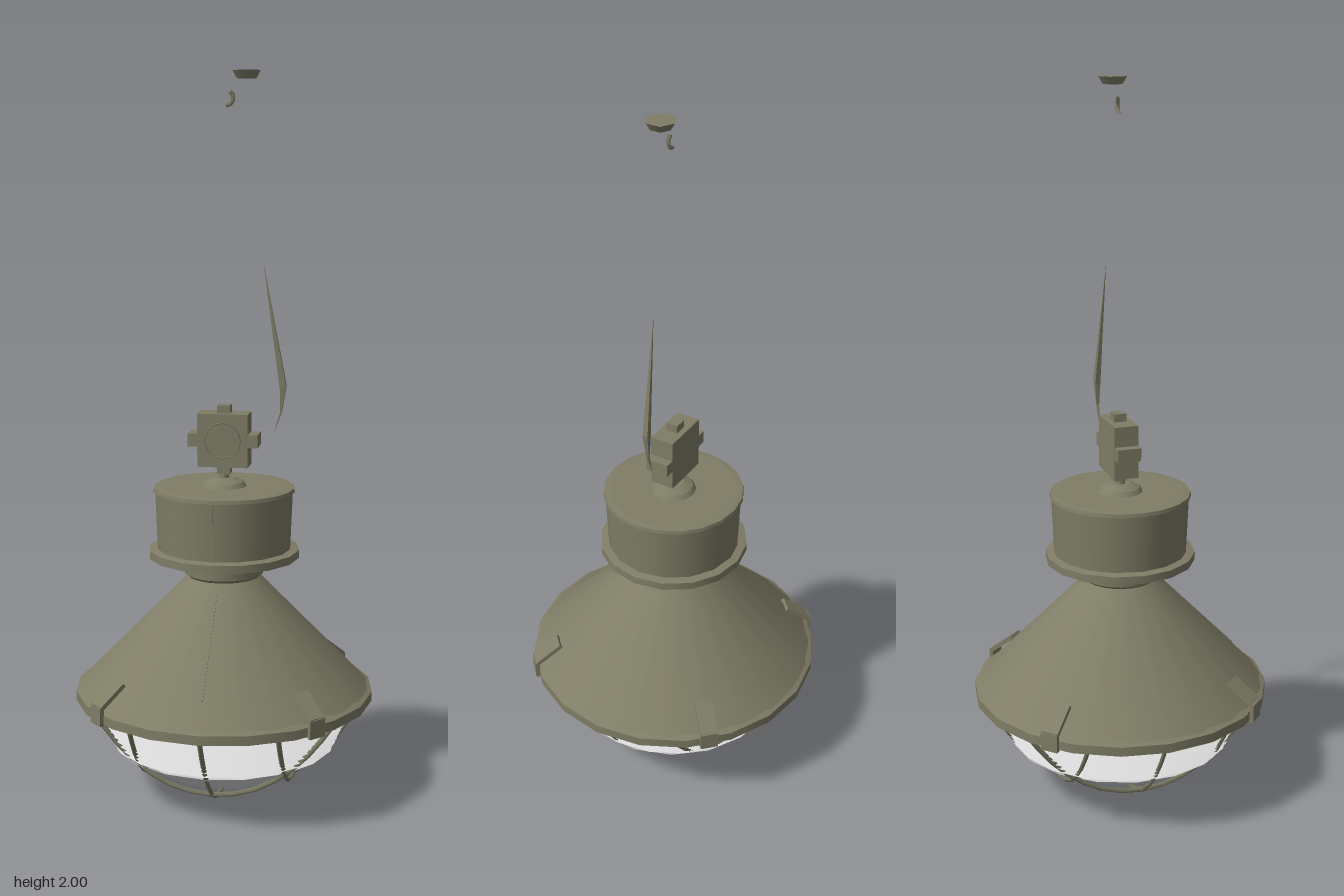
import * as THREE from 'three';

const paint = new THREE.MeshStandardMaterial({ color: 0x7f7d66, side: THREE.DoubleSide });
paint.name = 'olive paint';
const glass = new THREE.MeshStandardMaterial({ color: 0xdadadb, side: THREE.DoubleSide });
glass.name = 'pale glass';

export function createModel() {
  const root = new THREE.Group();
  root.name = 'pendantLamp';

  function add(name, geometry, material, x = 0, y = 0, z = 0, parent = root) {
    const mesh = new THREE.Mesh(geometry, material);
    mesh.name = name;
    mesh.position.set(x, y, z);
    parent.add(mesh);
    return mesh;
  }
  // Turned part with a hard edge at every profile point
  function turned(name, profile, material, segments = 20) {
    const group = new THREE.Group();
    group.name = name;
    for (let i = 0; i < profile.length - 1; i++) {
      const pts = [profile[i], profile[i + 1]].map(([r, y]) => new THREE.Vector2(r, y));
      add(name + 'Band', new THREE.LatheGeometry(pts, segments), material, 0, 0, 0, group);
    }
    root.add(group);
  }
  function wire(name, points, radius, parent) {
    const curve = new THREE.CatmullRomCurve3(points.map(p => new THREE.Vector3(...p)));
    add(name, new THREE.TubeGeometry(curve, 14, radius, 4), paint, 0, 0, 0, parent);
  }

  // Conical shade and its rim
  turned('shade', [[0.1, 0.626], [0.405, 0.312]], paint, 24);
  turned('shadeRim', [[0.37, 0.28], [0.418, 0.28], [0.418, 0.306], [0.4, 0.315]], paint);

  // Gear housing, flange and neck
  turned('neck', [[0.1, 0.63], [0.11, 0.634], [0.112, 0.695]], paint);
  turned('housing', [[0.112, 0.69], [0.185, 0.69], [0.192, 0.868], [0.198, 0.868],
    [0.196, 0.878], [0.18, 0.88], [0, 0.88]], paint);
  turned('housingFlange', [[0.17, 0.682], [0.21, 0.682], [0.21, 0.704], [0.188, 0.708]], paint, 16);
  turned('topBoss', [[0.065, 0.878], [0.055, 0.892], [0.03, 0.903], [0, 0.903]], paint, 12);

  // Front seam on housing and shade
  add('housingSeam', new THREE.BoxGeometry(0.004, 0.17, 0.004), paint, 0, 0.785, 0.19);
  const seam = add('shadeSeam', new THREE.BoxGeometry(0.004, 0.32, 0.004), paint, 0, 0.488, 0.235);
  seam.rotation.x = -Math.atan2(0.305, 0.314);

  // Junction box with four stubs and a round cover
  const box = new THREE.Group();
  box.name = 'junctionBox';
  box.position.set(0, 1.01, -0.005);
  root.add(box);
  add('boxBody', new THREE.BoxGeometry(0.14, 0.148, 0.068), paint, 0, 0, 0, box);
  add('boxCover', new THREE.TorusGeometry(0.05, 0.002, 4, 12), paint, 0, 0, 0.034, box);
  for (const s of [-1, 1]) {
    add('sideStub', new THREE.BoxGeometry(0.03, 0.036, 0.066), paint, s * 0.082, 0, 0, box);
    add('endStub', new THREE.BoxGeometry(0.036, 0.024, 0.034), paint, 0, s * 0.084, 0, box);
  }
  add('boxStem', new THREE.CylinderGeometry(0.012, 0.016, 0.04, 8), paint, 0, 0.91, 0);

  // Loose supply cable: a blade that tapers to both ends
  const blade = new THREE.Shape();
  [[0.106, 1.5], [0.17, 1.16], [0.158, 1.085], [0.135, 1.025], [0.154, 1.09], [0.153, 1.15]]
    .forEach(([x, y], i) => (i ? blade.lineTo(x, y) : blade.moveTo(x, y)));
  const bladeGeometry = new THREE.ExtrudeGeometry(blade, { depth: 1, bevelEnabled: false });
  const bladePoints = bladeGeometry.attributes.position;
  for (let i = 0; i < bladePoints.count; i++) {
    const y = bladePoints.getY(i);
    const taper = y > 1.16 ? (1.5 - y) / 0.34 : (y - 1.02) / 0.14;
    const depth = taper * 0.016 * (bladePoints.getZ(i) - 0.5);
    bladePoints.setZ(i, depth - 0.005 - 0.01 * Math.min(1, (1.5 - y) / 0.34));
  }
  bladeGeometry.computeVertexNormals();
  add('cable', bladeGeometry, paint);

  // Ceiling plate and hook
  add('ceilingPlate', new THREE.CylinderGeometry(0.04, 0.028, 0.02, 6), paint, 0.06, 1.99, 0);
  const hook = add('ceilingHook', new THREE.TorusGeometry(0.02, 0.006, 4, 4, Math.PI * 0.8), paint, 0.005, 1.93, 0);
  hook.rotation.z = -Math.PI / 2;

  // Clips that hold the cage to the rim
  for (let i = 0; i < 4; i++) {
    const clip = new THREE.Group();
    clip.name = 'rimClip';
    clip.rotation.y = Math.PI / 4 + i * Math.PI / 2;
    root.add(clip);
    const strap = add('clipStrap', new THREE.BoxGeometry(0.05, 0.012, 0.09), paint, 0, 0.35, 0.382, clip);
    strap.rotation.x = 0.65;
    add('clipHook', new THREE.BoxGeometry(0.05, 0.05, 0.012), paint, 0, 0.3, 0.418, clip);
  }

  // Ribbed glass rings and shallow lower bowl
  const rings = new THREE.Group();
  rings.name = 'glassRings';
  root.add(rings);
  for (let i = 0; i < 10; i++) {
    const y = 0.152 + i * 0.0133;
    const r = 0.318 + i * 0.006;
    const pts = [new THREE.Vector2(r - 0.028, y + 0.006), new THREE.Vector2(r, y)];
    add('glassRing', new THREE.LatheGeometry(pts, 20), glass, 0, 0, 0, rings);
  }
  turned('glassBowl', [[0.315, 0.145], [0.2, 0.075], [0, 0.03]], glass, 18);

  // Wire guard: a crossing grid of bent wires
  const guard = new THREE.Group();
  guard.name = 'wireGuard';
  root.add(guard);
  const guardHeight = r => 0.007 + 0.275 * Math.pow(r / 0.39, 2.6);
  for (const offset of [-0.2, 0, 0.2]) {
    const reach = Math.sqrt(0.39 ** 2 - offset ** 2);
    const pts = [];
    for (let i = -4; i <= 4; i++) {
      const t = reach * Math.sin(i * Math.PI / 8);
      pts.push([offset, guardHeight(Math.hypot(t, offset)), t]);
    }
    wire('guardWire', pts, 0.007, guard);
    wire('guardWire', pts.map(([x, y, z]) => [z, y, x]), 0.007, guard);
  }

  return root;
}
